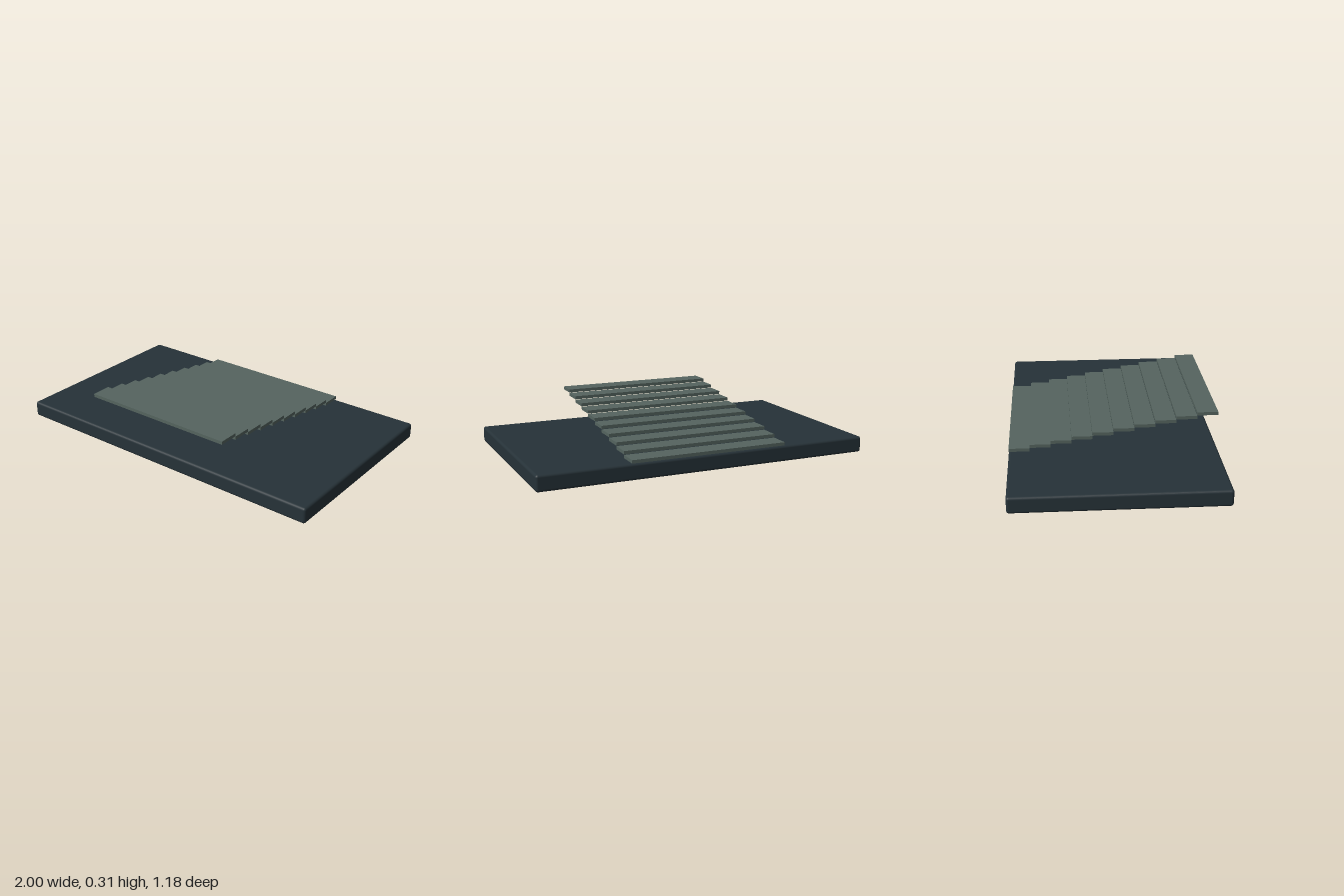
import * as THREE from 'three';
import { RoundedBoxGeometry } from 'three/addons/geometries/RoundedBoxGeometry.js';

export function createModel() {
  const model = new THREE.Group();
  model.name = 'steppedRamp';
  const baseMaterial = new THREE.MeshStandardMaterial({ color: 0x263238 });
  const slatMaterial = new THREE.MeshStandardMaterial({ color: 0x55645f });

  // Base slab with softly rounded edges
  const width = 2, depth = 1.176, height = 0.094;
  const base = new THREE.Mesh(new RoundedBoxGeometry(width, height, depth, 3, 0.015), baseMaterial);
  base.name = 'base';
  base.position.y = height / 2;
  model.add(base);

  // Floating slats climbing from the back edge to the front edge
  const count = 10, slatDepth = depth / count, rise = 0.0212;
  const slatGeometry = new THREE.BoxGeometry(0.94, 0.0188, slatDepth);
  const slats = new THREE.Group();
  slats.name = 'slats';
  for (let i = 0; i < count; i++) {
    const slat = new THREE.Mesh(slatGeometry, slatMaterial);
    slat.name = `slat${i + 1}`;
    slat.position.set(0, 0.1055 + i * rise, -depth / 2 + (i + 0.5) * slatDepth);
    slats.add(slat);
  }
  model.add(slats);
  return model;
}
